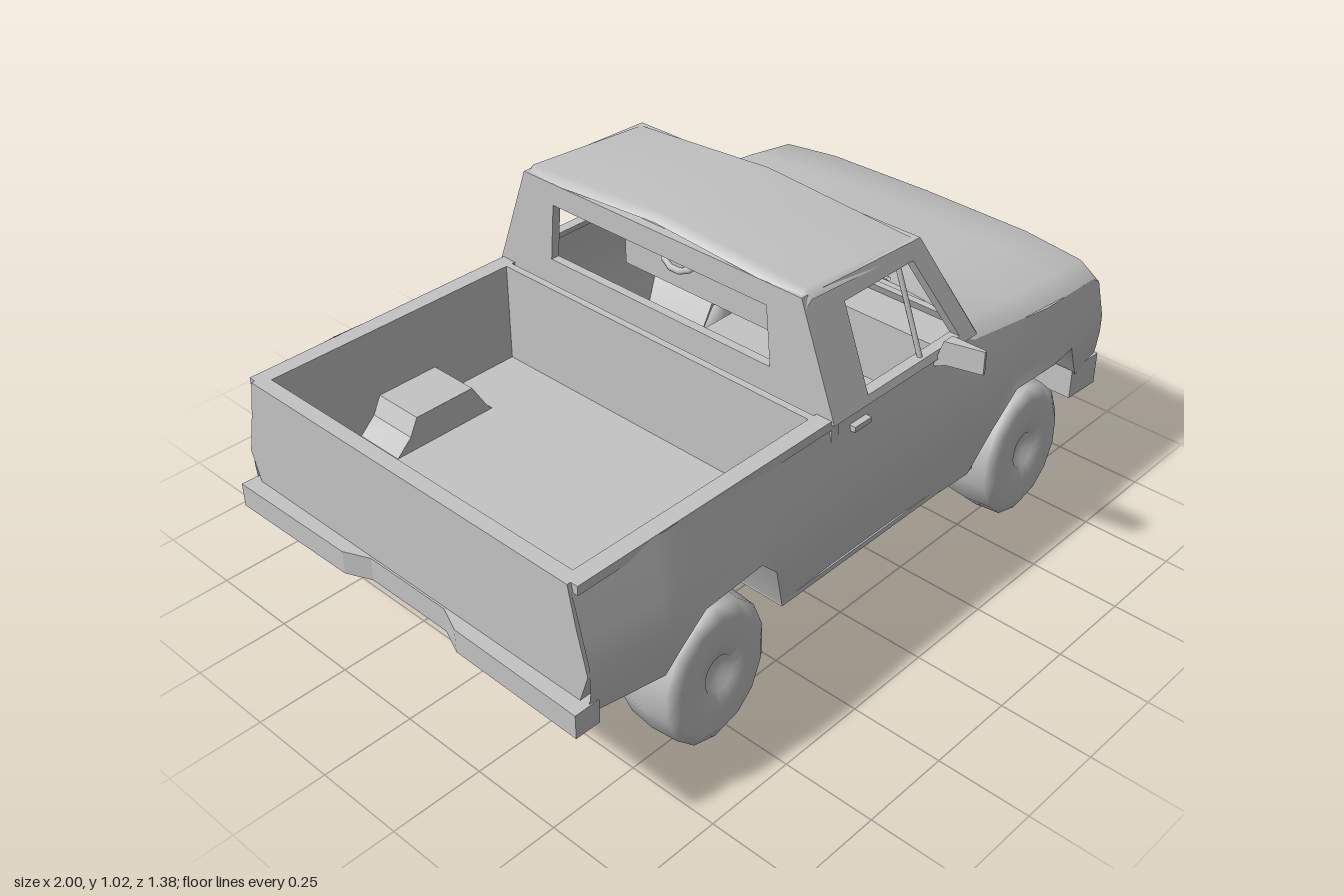
import * as THREE from 'three';

const paint = new THREE.MeshStandardMaterial({ color: 0xc4c4c4, side: THREE.DoubleSide });
paint.name = 'grey paint';

// Piecewise-linear lookup through [input, output] pairs
function lerpTable(table, v) {
  if (v <= table[0][0]) return table[0][1];
  for (let i = 1; i < table.length; i++) {
    const [a, p] = table[i - 1], [b, q] = table[i];
    if (v <= b) return p + (q - p) * (v - a) / (b - a);
  }
  return table[table.length - 1][1];
}

// Body lines: lower edge with wheel arches, shoulder line, side bulge, end taper
const lower = [[-0.955, 0.37], [-0.74, 0.345], [-0.70, 0.41], [-0.63, 0.475], [-0.44, 0.48], [-0.38, 0.42], [-0.33, 0.28],
  [0.40, 0.27], [0.46, 0.38], [0.54, 0.48], [0.80, 0.48], [0.85, 0.39], [0.88, 0.35], [0.98, 0.35]];
const shoulder = [[-0.955, 0.70], [0.34, 0.70], [0.40, 0.67], [0.95, 0.61], [0.98, 0.59]];
const bulge = [[0.27, 0.59], [0.40, 0.612], [0.48, 0.62], [0.60, 0.59], [0.70, 0.563]];
const taper = [[-0.955, 0.96], [-0.70, 1], [-0.15, 0.97], [0.10, 0.97], [0.70, 1], [0.98, 0.95]];
const sideZ = (x, y) => lerpTable(bulge, y) * lerpTable(taper, x);
const cabZ = y => 0.565 - (y - 0.70) * 0.375;
const screenX = y => 0.40 - (y - 0.70) * 0.45;

function mesh(parent, name, geometry) {
  const m = new THREE.Mesh(geometry, paint);
  m.name = name;
  parent.add(m);
  return m;
}

// Box given by its limits
function box(parent, name, x0, x1, y0, y1, z0, z1) {
  const m = mesh(parent, name, new THREE.BoxGeometry(x1 - x0, y1 - y0, z1 - z0));
  m.position.set((x0 + x1) / 2, (y0 + y1) / 2, (z0 + z1) / 2);
}

// Smooth sheet over two lists of stations
function sheet(us, vs, point) {
  const pos = [], index = [];
  for (const u of us) for (const v of vs) pos.push(...point(u, v));
  const n = vs.length;
  for (let i = 0; i < us.length - 1; i++) {
    for (let j = 0; j < n - 1; j++) {
      const a = i * n + j;
      index.push(a, a + n, a + n + 1, a, a + n + 1, a + 1);
    }
  }
  const g = new THREE.BufferGeometry();
  g.setAttribute('position', new THREE.Float32BufferAttribute(pos, 3));
  g.setIndex(index);
  g.computeVertexNormals();
  return g;
}

// Flat panel with holes, its corners moved by a rule
function panel(outline, holes, depth, place) {
  const pts = list => list.map(([a, b]) => new THREE.Vector2(a, b));
  const shape = new THREE.Shape(pts(outline));
  for (const h of holes) shape.holes.push(new THREE.Path(pts(h)));
  const g = new THREE.ExtrudeGeometry(shape, { depth, bevelEnabled: false });
  const p = g.attributes.position;
  for (let i = 0; i < p.count; i++) p.setXYZ(i, ...place(p.getX(i), p.getY(i), p.getZ(i)));
  g.computeVertexNormals();
  return g;
}
const rect = (a0, a1, b0, b1) => [[a0, b0], [a1, b0], [a1, b1], [a0, b1]];

function rod(parent, name, from, to, r) {
  const path = new THREE.LineCurve3(new THREE.Vector3(...from), new THREE.Vector3(...to));
  mesh(parent, name, new THREE.TubeGeometry(path, 1, r, 6));
}

// Everything that exists on both sides
function buildSide(name, s) {
  const side = new THREE.Group();
  side.name = name;
  side.scale.z = s;

  const xs = [...new Set([...lower, ...shoulder, ...taper].map(p => p[0]))].sort((a, b) => a - b);
  mesh(side, 'bodySide', sheet(xs, [0, 0.2, 0.4, 0.6, 0.8, 1], (x, v) => {
    const y0 = lerpTable(lower, x), y = y0 + (lerpTable(shoulder, x) - y0) * v;
    return [x, y, sideZ(x, y)];
  }));

  // Wheel arch liners and their inner walls
  for (const [a, b] of [[-0.74, -0.33], [0.40, 0.88]]) {
    const span = xs.filter(x => x >= a && x <= b);
    mesh(side, 'archLiner', sheet(span, [0, 1], (x, v) => {
      const y = lerpTable(lower, x);
      return [x, y, v ? 0.37 : sideZ(x, y)];
    }));
    mesh(side, 'archWall', sheet(span, [0, 1], (x, v) =>
      [x, v ? lerpTable(lower, x) : Math.min(0.36, lerpTable(lower, x)), 0.37]));
  }

  // Bed wall and rail
  box(side, 'bedWall', -0.95, -0.15, 0.40, 0.69, 0.515, 0.53);
  box(side, 'bedRail', -0.95, -0.15, 0.675, 0.70, 0.515, 0.56);

  // Door frame with window, quarter-light bar and handle
  mesh(side, 'doorFrame', panel(
    [[-0.15, 0.69], [0.40, 0.69], [0.278, 0.97], [-0.15, 0.985]],
    [[[-0.02, 0.71], [0.335, 0.71], [0.235, 0.93], [-0.02, 0.93]]],
    0.03, (a, b, c) => [a, b, cabZ(b) + c - 0.03]));
  rod(side, 'windowBar', [0.195, 0.70, 0.55], [0.195, 0.94, 0.46], 0.007);
  box(side, 'doorHandle', -0.08, -0.02, 0.64, 0.655, 0.55, 0.575);

  // Door mirror, thinner towards its tip
  mesh(side, 'mirror', panel([[0.555, 0.665], [0.59, 0.68], [0.69, 0.69], [0.69, 0.755], [0.58, 0.745]], [],
    1, (a, b, c) => [0.26 + (c - 0.5) * 0.25 * (0.72 - a), b, a]));

  // Wheels with a wide tread, slightly taller than long
  const profile = [[0, -0.07], [0.05, -0.075], [0.12, -0.095], [0.165, -0.097], [0.197, -0.07], [0.205, 0], [0.198, 0.075],
    [0.165, 0.094], [0.10, 0.092], [0.055, 0.085], [0.045, 0.065], [0, 0.065]];
  for (const [label, x] of [['rearWheel', -0.55], ['frontWheel', 0.66]]) {
    const g = new THREE.LatheGeometry(profile.map(p => new THREE.Vector2(...p)), 14);
    g.rotateX(Math.PI / 2);
    const w = mesh(side, label, g);
    w.scale.x = 0.83;
    w.position.set(x, 0.21, 0.497);
  }

  rod(side, 'wiper', [0.40, 0.735, 0.20], [0.36, 0.765, 0.32], 0.006);
  return side;
}

export function createModel() {
  const truck = new THREE.Group();
  truck.name = 'pickupTruck';
  truck.add(buildSide('nearSide', 1), buildSide('farSide', -1));

  // Bonnet with rolled edges
  const crown = [[0, 0.068], [0.6, 0.063], [0.92, 0.042], [1, 0]];
  mesh(truck, 'bonnet', sheet([0.375, 0.40, 0.60, 0.80, 0.95, 0.98], [-1, -0.92, -0.6, 0, 0.6, 0.92, 1], (x, t) => {
    const y = lerpTable(shoulder, x);
    return [x, y + lerpTable(crown, Math.abs(t)) * (x > 0.96 ? 0.6 : 1), t * sideZ(x, y)];
  }));

  // Nose with grille and headlight openings, leaning back below
  const nose = [[-0.565, 0.35], [0.565, 0.35], [0.588, 0.48], [0.555, 0.59], [0.51, 0.613], [0.33, 0.628],
    [-0.33, 0.628], [-0.51, 0.613], [-0.555, 0.59], [-0.588, 0.48]];
  mesh(truck, 'nose', panel(nose,
    [rect(-0.33, 0.33, 0.45, 0.58), rect(0.36, 0.50, 0.465, 0.57), rect(-0.50, -0.36, 0.465, 0.57)],
    0.03, (a, b, c) => [lerpTable([[0.35, 0.925], [0.46, 0.94], [0.56, 0.955], [0.60, 0.955], [0.63, 0.95]], b) + c, b, -a]));
  box(truck, 'noseBack', 0.92, 0.945, 0.43, 0.60, -0.52, 0.52);
  for (let i = 0; i < 4; i++) box(truck, 'grilleBar', 0.945, 0.97, 0.468 + i * 0.028, 0.478 + i * 0.028, -0.33, 0.33);
  box(truck, 'grilleDivider', 0.945, 0.978, 0.45, 0.58, -0.01, 0.01);

  // Front bumper, and rear bumper stepped in at the middle
  const frontBar = [[-0.58, 0.87], [-0.585, 0.985], [-0.50, 1], [0.50, 1], [0.585, 0.985], [0.58, 0.87]];
  mesh(truck, 'frontBumper', panel(frontBar, [], 0.095, (a, b, c) => [b, 0.275 + c, a]));
  const rearBar = [[-0.59, -0.93], [-0.59, -1], [-0.20, -0.995], [-0.13, -0.965], [0.13, -0.965], [0.20, -0.995],
    [0.59, -1], [0.59, -0.93]];
  mesh(truck, 'rearBumper', panel(rearBar, [], 0.065, (a, b, c) => [b, 0.335 + c, a]));

  // Tailgate, bed front, bed floor and the single wheel box
  mesh(truck, 'tailgate', panel([[-0.55, 0.36], [0.55, 0.36], [0.59, 0.48], [0.56, 0.60], [0.54, 0.70],
    [-0.54, 0.70], [-0.56, 0.60], [-0.59, 0.48]], [], 0.04, (a, b, c) => [-0.96 + c, b, -a]));
  box(truck, 'bedFront', -0.18, -0.16, 0.38, 0.70, -0.55, 0.55);
  box(truck, 'bedFloor', -0.95, -0.16, 0.405, 0.42, -0.53, 0.53);
  mesh(truck, 'wheelBox', panel([[-0.67, 0.41], [-0.38, 0.41], [-0.44, 0.51], [-0.62, 0.51]], [],
    0.15, (a, b, c) => [a, b, c - 0.52]));

  // Underside
  box(truck, 'cabFloor', -0.33, 0.42, 0.275, 0.29, -0.58, 0.58);
  box(truck, 'engineTray', 0.40, 0.96, 0.29, 0.30, -0.37, 0.37);
  box(truck, 'gearboxPlate', -0.13, 0.32, 0.245, 0.275, -0.40, 0.40);

  // Cab back wall, windscreen frame and ridged roof
  mesh(truck, 'cabBack', panel([[-0.57, 0.29], [0.57, 0.29], [0.56, 0.70], [0.458, 0.985], [-0.458, 0.985], [-0.56, 0.70]],
    [[[-0.37, 0.765], [0.37, 0.765], [0.355, 0.925], [-0.355, 0.925]]],
    0.025, (a, b, c) => [-0.15 + c, b, -a]));
  mesh(truck, 'windscreenFrame', panel([[-0.565, 0.69], [0.565, 0.69], [0.462, 0.97], [-0.462, 0.97]],
    [[[-0.50, 0.725], [0.50, 0.725], [0.425, 0.94], [-0.425, 0.94]]],
    0.02, (a, b, c) => [screenX(b) + c - 0.02, b, -a]));
  const roofLine = [[-0.15, 0.98], [-0.125, 1.0], [0.26, 0.975], [0.285, 0.955]];
  mesh(truck, 'roof', sheet(roofLine.map(p => p[0]), [-1, -0.96, -0.5, 0, 0.5, 0.96, 1], (x, t) => {
    const drop = lerpTable([[0, -0.027], [0.96, 0.003], [1, 0.025]], Math.abs(t));
    return [x, lerpTable(roofLine, x) - drop, t * 0.468];
  }));

  // Interior: dashboard, leaning bench seat and steering wheel
  box(truck, 'dashboard', 0.27, 0.38, 0.52, 0.70, -0.53, 0.53);
  mesh(truck, 'benchSeat', panel([[-0.12, 0.29], [0.12, 0.29], [0.12, 0.47], [0, 0.45], [-0.10, 0.71], [-0.12, 0.71]], [],
    0.96, (a, b, c) => [a, b, c - 0.48]));
  const wheel = mesh(truck, 'steeringWheel', new THREE.TorusGeometry(0.075, 0.01, 6, 14));
  wheel.rotation.set(0, Math.PI / 2, 0);
  wheel.rotateX(0.6);
  wheel.position.set(0.24, 0.69, -0.27);
  rod(truck, 'steeringColumn', [0.24, 0.69, -0.27], [0.34, 0.62, -0.27], 0.012);

  // Axles with pointed differentials, and drive shafts
  for (const x of [-0.55, 0.66]) {
    rod(truck, 'axle', [x, 0.21, -0.45], [x, 0.21, 0.45], 0.025);
    const diff = mesh(truck, 'differential', new THREE.SphereGeometry(0.065, 8, 2).rotateX(Math.PI / 2));
    diff.scale.z = 2;
    diff.position.set(x, 0.21, 0);
  }
  rod(truck, 'rearShaft', [-0.55, 0.215, 0], [-0.10, 0.25, 0], 0.02);
  rod(truck, 'frontShaft', [0.30, 0.25, 0], [0.66, 0.21, 0], 0.02);
  return truck;
}
